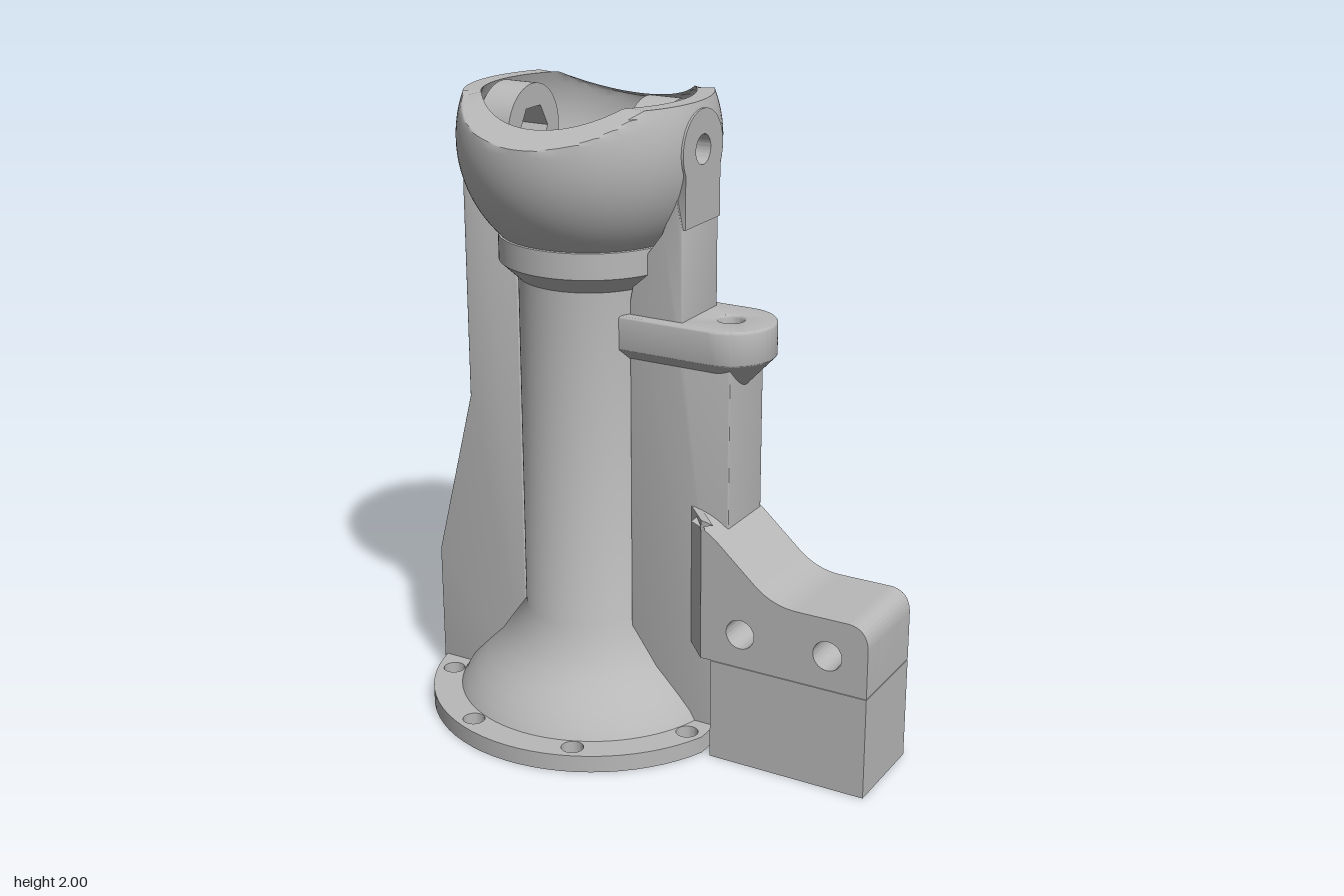
import * as THREE from 'three';
import { toCreasedNormals } from 'three/addons/utils/BufferGeometryUtils.js';

const CX = -0.26; // column axis
const PIVOT = 1.86; // height of the cup pivot
const gray = new THREE.MeshStandardMaterial({ color: 0xb8b8b8 });
gray.name = 'plainGray';

export function createModel() {
  const model = new THREE.Group();
  model.name = 'columnMount';

  const add = (name, geo) => {
    const mesh = new THREE.Mesh(toCreasedNormals(geo, 0.6), gray);
    mesh.name = name;
    model.add(mesh);
    return mesh;
  };
  const poly = pts => new THREE.Shape(pts.map(p => new THREE.Vector2(p[0], p[1])));
  const circle = (x, y, r) => new THREE.Path().absarc(x, y, r, 0, Math.PI * 2, false);
  const disc = (x, y, r) => new THREE.Shape().absarc(x, y, r, 0, Math.PI * 2, false);
  const hex = (x, y, r) => {
    const p = [];
    for (let i = 0; i < 6; i++) p.push(new THREE.Vector2(x + r * Math.cos(i * Math.PI / 3), y + r * Math.sin(i * Math.PI / 3)));
    return new THREE.Path(p);
  };
  const extrude = (shape, depth, bevel = 0) => {
    const g = new THREE.ExtrudeGeometry(shape, {
      depth: depth - 2 * bevel, curveSegments: 32, bevelEnabled: bevel > 0,
      bevelSize: bevel, bevelThickness: bevel, bevelOffset: -bevel, bevelSegments: 3,
    });
    return g.translate(0, 0, bevel);
  };
  // horizontal plate: shape coordinates are (x, -z)
  const slab = (shape, y0, y1, bevel) => extrude(shape, y1 - y0, bevel).rotateX(-Math.PI / 2).translate(0, y0, 0);
  const warp = (geo, rule) => {
    const p = geo.attributes.position, v = new THREE.Vector3();
    for (let i = 0; i < p.count; i++) {
      rule(v.fromBufferAttribute(p, i));
      p.setXYZ(i, v.x, v.y, v.z);
    }
    return geo;
  };
  // outline wrapped round two circles
  const wrap = (x1, y1, r1, x2, y2, r2) => {
    const d = Math.atan2(y2 - y1, x2 - x1);
    const a = Math.acos((r1 - r2) / Math.hypot(x2 - x1, y2 - y1));
    return new THREE.Shape().absarc(x1, y1, r1, d + a, d + Math.PI * 2 - a, false).absarc(x2, y2, r2, d - a, d + a, false);
  };

  // Base flange with bolt holes and one trimmed side
  const trim = Math.acos(0.5 / 0.535);
  const flange = new THREE.Shape().absarc(CX, 0, 0.535, trim, Math.PI * 2 - trim, false);
  for (let i = 0; i < 8; i++) {
    const a = (i + 0.5) * Math.PI / 4;
    flange.holes.push(circle(CX + 0.48 * Math.cos(a), 0.48 * Math.sin(a), 0.035));
  }
  flange.holes.push(circle(CX, 0, 0.18), circle(-0.55, 0, 0.06), circle(0.09, 0.29, 0.04));
  add('baseFlange', slab(flange, 0, 0.055));

  // Hollow column: flared foot, collar and round cup in one turned profile
  const prof = [[0.18, 0.02], [0.445, 0.05], [0.425, 0.085], [0.39, 0.125], [0.35, 0.168], [0.31, 0.21], [0.225, 0.34],
    [0.225, 1.435], [0.283, 1.49], [0.283, 1.57]];
  const arc = (r, y) => [Math.sqrt(r * r - (y - PIVOT) ** 2), y];
  for (let i = 0; i <= 20; i++) prof.push(arc(0.4, 1.572 + 0.428 * i / 20));
  for (let i = 0; i <= 20; i++) prof.push(arc(0.35, 2 - 0.427 * i / 20));
  prof.push([0.18, 1.54], [0.18, 1.3], [0.115, 1.2], [0.115, 0.3], [0.18, 0.2], [0.18, 0.02]);
  const turned = warp(new THREE.LatheGeometry(prof.map(p => new THREE.Vector2(...p)), 96), v => {
    if (v.y > 1) {
      v.x = THREE.MathUtils.clamp(v.x, -0.385, 0.385); // flat cheeks
      v.y = Math.min(v.y, 2 - Math.max(0, Math.abs(v.z) - 0.21) * 0.58); // sloped rim
    }
  }).toNonIndexed();
  // open the cup wall where the pivot bosses pass through
  const src = turned.attributes.position.array, kept = [];
  for (let i = 0; i < src.length; i += 9) {
    const x = (src[i] + src[i + 3] + src[i + 6]) / 3;
    const y = (src[i + 1] + src[i + 4] + src[i + 7]) / 3 - PIVOT;
    const z = (src[i + 2] + src[i + 5] + src[i + 8]) / 3;
    if (Math.abs(x) > 0.25 && Math.hypot(y, z) < 0.095) continue;
    for (let k = 0; k < 9; k++) kept.push(src[i + k]);
  }
  const body = new THREE.BufferGeometry();
  body.setAttribute('position', new THREE.Float32BufferAttribute(kept, 3));
  add('columnAndCup', body.translate(CX, 0, 0));

  // Pivot bosses with hexagonal pockets, and outer lugs
  for (const s of [-1, 1]) {
    const side = s < 0 ? 'right' : 'left';
    const along = (shape, a, b) => {
      const g = extrude(shape, b - a).rotateY(Math.PI / 2);
      return g.translate(s > 0 ? CX + a : CX - b, PIVOT, 0);
    };
    const boss = disc(0, 0, 0.14);
    boss.holes.push(hex(0, 0, 0.078));
    add(side + 'PivotBoss', along(boss, 0.2, 0.31));
    const ring = disc(0, 0, 0.12);
    ring.holes.push(circle(0, 0, 0.045));
    add(side + 'PivotRing', along(ring, 0.3, 0.36));
    const lug = new THREE.Shape().moveTo(-0.105, -0.22).lineTo(0.105, -0.22).absarc(0, 0, 0.12, -0.5, Math.PI + 0.5, false);
    lug.holes.push(circle(0, 0, 0.045));
    add(side + 'PivotLug', along(lug, 0.355, 0.388));
  }

  // Side ribs, drawn as (distance from axis, height)
  const inner = [[0.36, 1.74], [0.31, 1.62], [0.22, 1.5], [0.2, 1.4], [0.2, 0.03]];
  const rib = (name, s, pts, half) =>
    add(name, extrude(poly(pts.concat(inner).map(p => [CX + s * p[0], p[1]])), 2 * half, 0.004).translate(0, 0, -half));
  rib('rightRib', -1, [[0.535, 0.03], [0.535, 0.44], [0.393, 1.0], [0.393, 1.7], [0.38, 1.75]], 0.11);
  rib('leftRib', 1, [[0.5, 0.03], [0.5, 0.33], [0.54, 0.36], [0.54, 1.27], [0.38, 1.3], [0.38, 1.64]], 0.108);

  // Shelf on the left rib, with a tapered underside
  const shelf = () => new THREE.Shape().moveTo(-0.08, 0.14).lineTo(-0.08, -0.14).lineTo(0.225, -0.14)
    .absarc(0.225, 0, 0.14, -Math.PI / 2, Math.PI / 2, false);
  const shelfTop = shelf();
  shelfTop.holes.push(circle(0.225, 0, 0.04));
  add('shelf', slab(shelfTop, 1.25, 1.36, 0.008));
  add('shelfTaper', warp(slab(shelf(), 1.11, 1.256), v => {
    if (v.y > 1.2) return;
    v.z *= 0.02;
    if (v.x > 0.225) v.x = 0.225 + (v.x - 0.225) * 0.02;
  }));

  // Upper rear ear, its underside sloping back to the column
  const upper = wrap(CX, 0, 0.2, -0.62, 0.3, 0.172);
  upper.holes.push(circle(CX, 0, 0.15), circle(-0.62, 0.3, 0.047));
  add('upperEar', warp(slab(upper, 0, 1, 0.015), v => {
    const s = ((v.x - CX) * -0.36 + v.z * -0.3) / 0.4686;
    if (v.y > 0.5) v.y -= 0.05 * Math.max(0, s - 0.2);
    else v.y += 0.78 + 1.3 * (Math.max(s, 0.14) - 0.6);
  }));

  // Lower rear ear on a hollow post
  const lower = wrap(CX, 0, 0.2, 0.09, 0.29, 0.17);
  lower.holes.push(circle(CX, 0, 0.15), circle(0.09, 0.29, 0.04));
  add('lowerEar', slab(lower, 0.25, 0.41, 0.012));
  const post = [[0.04, 0.03], [0.072, 0.03], [0.072, 0.18], [0.09, 0.18], [0.165, 0.255], [0.04, 0.255], [0.04, 0.03]];
  add('earPost', new THREE.LatheGeometry(post.map(p => new THREE.Vector2(...p)), 48).translate(0.09, 0, -0.29));

  // Side block: upper clamp with round holes and rear hexagonal pockets
  const clampShape = hole => {
    const s = new THREE.Shape().moveTo(0.155, 0.33).lineTo(0.79, 0.33).lineTo(0.79, 0.49)
      .quadraticCurveTo(0.785, 0.56, 0.72, 0.56).lineTo(0.56, 0.56)
      .quadraticCurveTo(0.48, 0.56, 0.42, 0.61).lineTo(0.29, 0.725)
      .quadraticCurveTo(0.23, 0.775, 0.155, 0.785).lineTo(0.155, 0.33);
    s.holes.push(hole(0.37, 0.44), hole(0.66, 0.44));
    return s;
  };
  add('clampBack', extrude(clampShape((x, y) => hex(x, y, 0.078)), 0.06).translate(0, 0, -0.112));
  add('clampMiddle', extrude(clampShape((x, y) => circle(x, y, 0.047)), 0.162).translate(0, 0, -0.052));
  add('clampFront', warp(extrude(clampShape((x, y) => circle(x, y, 0.047)), 0.085).translate(0, 0, 0.11), v => {
    if (v.x < 0.2 && v.z > 0.15) v.x += 0.08; // angled inner corner
  }));

  // Lower half of the block, with a slot open at the bottom
  const lowerBox = poly([[0.27, -0.195], [0.79, -0.195], [0.79, 0.112], [0.27, 0.112]]);
  lowerBox.holes.push(new THREE.Path([[0.37, -0.12], [0.37, 0.04], [0.69, 0.04], [0.69, -0.12]].map(p => new THREE.Vector2(...p))));
  add('blockBase', slab(lowerBox, 0, 0.328));

  return model;
}
